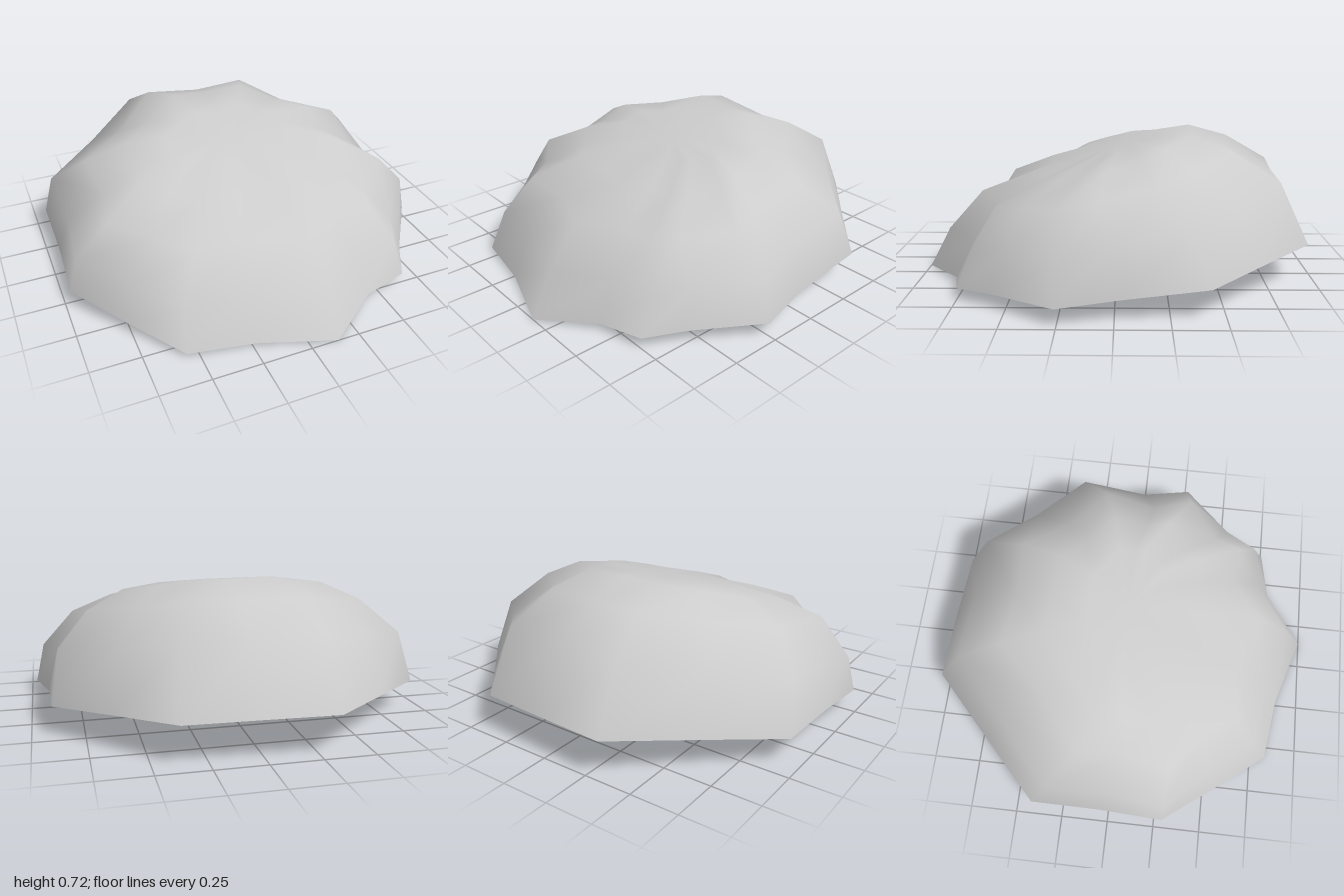
import * as THREE from 'three';
import { mergeVertices } from 'three/addons/utils/BufferGeometryUtils.js';

// Rim outline: ridge corners alternate with groove points
const RIM = [
  [-0.33, 0.2, -1], [0.03, 0.2, -0.985], [0.38, 0.195, -0.96], [0.63, 0.17, -0.7],
  [0.9, 0.145, -0.43], [0.91, 0.1, -0.03], [0.97, 0.08, 0.26], [0.75, 0.065, 0.57],
  [0.65, 0.055, 0.75], [0.42, 0.03, 0.8], [0.14, 0, 1], [-0.23, 0.01, 0.88],
  [-0.56, 0.02, 0.83], [-0.76, 0.055, 0.57], [-0.97, 0.1, 0.29], [-0.955, 0.12, -0.04],
  [-0.955, 0.14, -0.41], [-0.66, 0.17, -0.69],
];

// Skin between closed rings of equal length
function loft(rings) {
  const n = RIM.length, pos = rings.flat(2), index = [];
  for (let r = 0; r < rings.length - 1; r++) {
    for (let i = 0; i < n; i++) {
      const a = r * n + i, b = r * n + (i + 1) % n;
      index.push(a, a + n, b, b, a + n, b + n);
    }
  }
  const raw = new THREE.BufferGeometry();
  raw.setAttribute('position', new THREE.Float32BufferAttribute(pos, 3));
  raw.setIndex(index);
  const geo = mergeVertices(raw, 1e-4);
  geo.computeVertexNormals();
  return geo;
}

// Dome levels: x scale, z scale, forward shift, extra shift at the sides,
// height, forward slope, drop at the sides, groove depth
const LEVELS = [
  [0.955, 0.87, 0.02, 0.015, 0.365, 0.155, 0.045, 0.015],
  [0.785, 0.665, 0.045, 0.065, 0.535, 0.125, 0.045, 0.035],
  [0.575, 0.415, 0.015, 0.05, 0.62, 0.105, 0.03, 0.018],
  [0.36, 0.2, 0, 0.01, 0.64, 0.05, 0, 0],
  [0, 0, 0, 0, 0.64, 0, 0, 0],
];

// Rings of the dome above the rim, with grooves of adjustable strength
function dome(grooveStrength) {
  return LEVELS.map(([sx, sz, shift, sideShift, height, slope, drop, dent]) => RIM.map(([x, , z], i) => {
    const groove = i % 2 ? dent * grooveStrength : 0;
    return [
      x * (sx - groove),
      height - slope * z - drop * x * x - groove * 0.6,
      z * (sz - groove) + shift + sideShift * x * x,
    ];
  }));
}

export function createModel() {
  const group = new THREE.Group();
  group.name = 'shell';
  const grey = new THREE.MeshStandardMaterial({ color: 0xcccccc, side: THREE.DoubleSide });
  grey.name = 'pale grey';
  const add = (name, rings) => {
    const mesh = new THREE.Mesh(loft(rings), grey);
    mesh.name = name;
    group.add(mesh);
  };

  // Outer dome, sloping down to the front
  add('outerDome', [RIM, ...dome(1)]);

  // Cavity: a smaller, rounder dome without grooves
  const round = ([x, y, z], i) => {
    const k = 0.4 + 0.39 / Math.hypot(RIM[i][0], RIM[i][2]);
    return [x * k, 0.02 + 0.8 * y, z * k];
  };
  const opening = RIM.map(round).map(([x, , z]) => [x, 0.1 - 0.1 * z, z]);
  add('cavity', [opening, ...dome(0).map((ring) => ring.map(round))].reverse());

  // Flat lip between cavity and dome
  add('lip', [opening, RIM]);
  return group;
}
